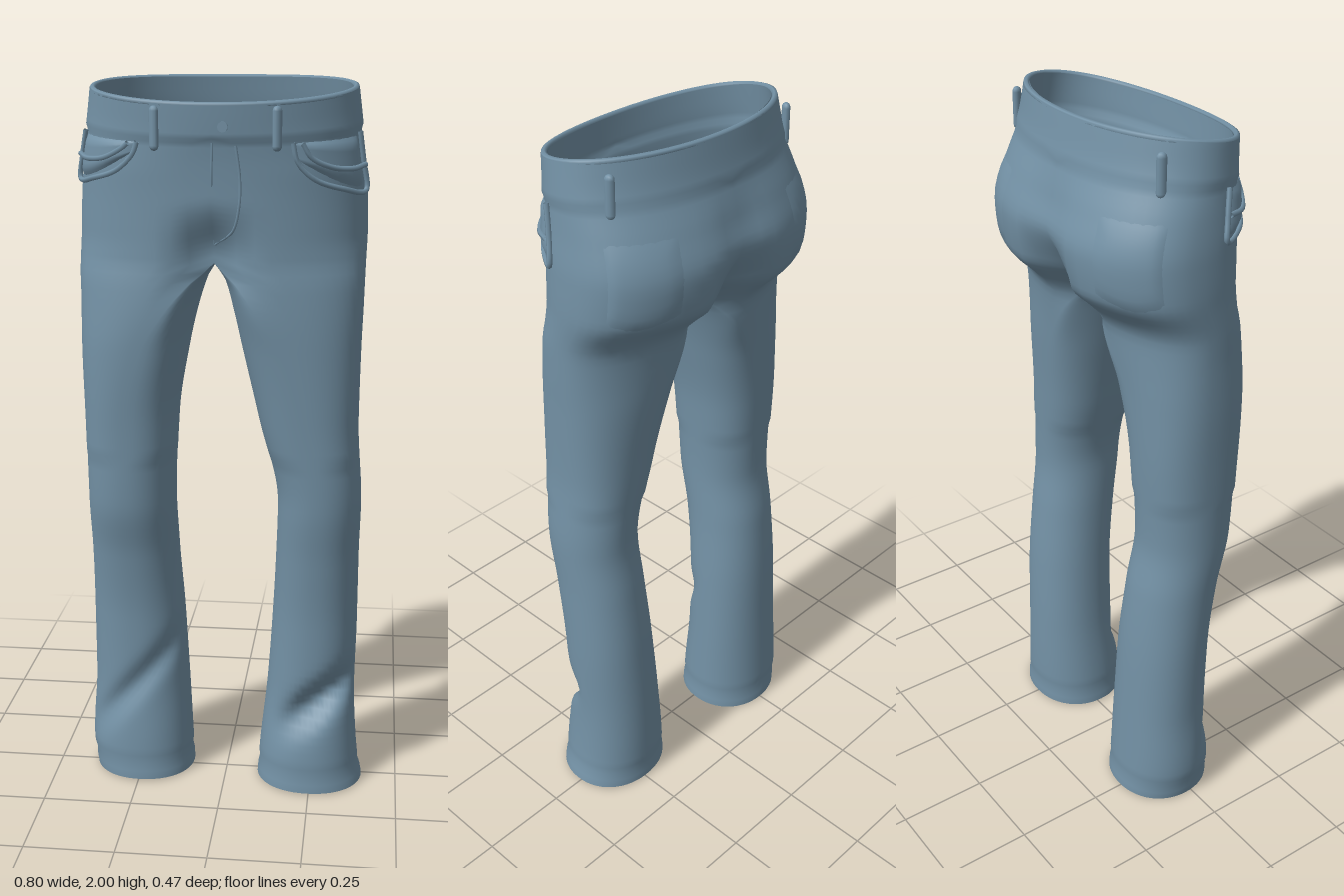
import * as THREE from 'three';
import { mergeVertices } from 'three/addons/utils/BufferGeometryUtils.js';

const CROTCH = 1.53, M = 28, THICK = 0.016;

// Cross-sections: y, outer x, centre x, inner x, front z, back z
const PELVIS = [
  [1.6, 0, -0.02, -0.02, 0.205, -0.232], [1.7, 0, -0.02, -0.02, 0.208, -0.244],
  [1.8, 0, -0.02, -0.02, 0.213, -0.215], [1.9, 0, -0.015, -0.015, 0.221, -0.178],
  [2.0, 0, -0.01, -0.01, 0.228, -0.158],
];
const pelvis = (xs) => PELVIS.map((r, i) => [r[0], xs[i], ...r.slice(2)]);
const SIDES = {
  right: [
    [0, -0.39, -0.245, -0.10, 0.12, -0.16], [0.1, -0.402, -0.25, -0.105, 0.115, -0.155],
    [0.3, -0.39, -0.25, -0.115, 0.10, -0.145], [0.5, -0.388, -0.25, -0.125, 0.105, -0.135],
    [0.7, -0.385, -0.255, -0.137, 0.13, -0.115], [0.86, -0.385, -0.26, -0.14, 0.165, -0.09],
    [1.1, -0.387, -0.255, -0.13, 0.18, -0.10], [1.3, -0.39, -0.21, -0.098, 0.195, -0.11],
    [1.4, -0.39, -0.15, -0.075, 0.20, -0.12], [1.49, -0.392, -0.07, -0.045, 0.202, -0.135],
    [CROTCH, -0.393, -0.02, -0.02, 0.203, -0.17], ...pelvis([-0.394, -0.39, -0.378, -0.362, -0.348]),
  ],
  left: [
    [0, 0.40, 0.247, 0.093, 0.15, -0.13], [0.1, 0.383, 0.245, 0.10, 0.145, -0.13],
    [0.3, 0.372, 0.245, 0.12, 0.125, -0.125], [0.5, 0.375, 0.255, 0.133, 0.13, -0.115],
    [0.7, 0.375, 0.26, 0.143, 0.15, -0.095], [0.86, 0.378, 0.262, 0.148, 0.172, -0.077],
    [1.1, 0.365, 0.22, 0.095, 0.185, -0.088], [1.3, 0.367, 0.16, 0.048, 0.195, -0.106],
    [1.4, 0.37, 0.10, 0.025, 0.20, -0.117], [1.49, 0.372, 0.03, 0, 0.202, -0.135],
    [CROTCH, 0.373, -0.02, -0.02, 0.203, -0.17], ...pelvis([0.375, 0.372, 0.36, 0.35, 0.338]),
  ],
};

// Smooth interpolation of one column, without overshoot
function column(rows, c, y) {
  let i = 0;
  while (i < rows.length - 2 && y > rows[i + 1][0]) i++;
  const slope = (k) => (rows[k + 1][c] - rows[k][c]) / (rows[k + 1][0] - rows[k][0]);
  const tangent = (k) => {
    if (k === 0) return slope(0);
    if (k === rows.length - 1) return slope(k - 1);
    const a = slope(k - 1), b = slope(k);
    return a * b <= 0 ? 0 : (2 * a * b) / (a + b);
  };
  const h = rows[i + 1][0] - rows[i][0], u = (y - rows[i][0]) / h, v = 1 - u;
  return rows[i][c] * (1 + 2 * u) * v * v + tangent(i) * h * u * v * v
    + rows[i + 1][c] * u * u * (3 - 2 * u) - tangent(i + 1) * h * u * u * v;
}

const step = THREE.MathUtils.smoothstep;

// Point on the cloth: t runs 0 front, 0.5 hip, 1 back, 1.5 inseam
function cloth(side, y, t, off = 0) {
  const [xo, xc, xi, zf, zb] = [1, 2, 3, 4, 5].map((c) => column(SIDES[side], c, y));
  const a = Math.PI * (0.5 - t), c = Math.cos(a), s = Math.sin(a);
  const waist = step(y, 1.75, 1.95);
  const e = y > 1 ? 0.84 + 0.12 * waist : 0.94;
  let x = xc + ((c >= 0 ? xo : xi) - xc) * Math.abs(c) ** e;
  const zm = (zf + zb) / 2, half = (zf - zb) / 2;
  let dz = half * Math.sign(s) * Math.abs(s) ** e;
  // Hollow along the centre seam, deepest at the crotch
  const near = Math.exp(-(((x + 0.02) / 0.065) ** 2)) * step(y, 1.25, 1.5);
  dz *= 1 - near * (s > 0 ? 0.36 * (1 - step(y, 1.53, 1.7)) : 0.08 * (1 - step(y, 1.75, 1.9)) + 0.42 * (1 - step(y, 1.53, 1.74)));
  // Diagonal folds above the hems
  const front = Math.max(0, dz / half);
  if (side === 'left') {
    dz -= 0.065 * front * step(x, 0.1, 0.3) * Math.exp(-(((y - 0.17 - 0.68 * (x - 0.12)) / 0.05) ** 2));
  } else {
    dz -= 0.022 * front * Math.exp(-(((y - 0.18 - 1.1 * (x + 0.36)) / 0.05) ** 2));
  }
  // Waistband step, hem groove and any extra offset go outwards
  const out = off + (y > 1.885 ? 0.006 : 0) - 0.004 * Math.exp(-(((y - 0.05) / 0.012) ** 2));
  const nx = x - xc, len = Math.hypot(nx, dz) || 1;
  if (t !== 0 && t !== 1) x += (out * nx) / len;
  const z = zm + dz + (out * dz) / len;
  const drop = 0.06 * Math.max(0, (z + 0.15) / 0.38) ** 1.6 * step(y, 1.7, 2);
  return new THREE.Vector3(x, y - drop, z);
}

// Both legs and the seat as one welded skin
function trouserGeometry() {
  const levels = [], pos = [], index = [];
  for (let k = 0; k <= 64; k++) levels.push(0.004 + (CROTCH - 0.004) * k / 64);
  for (let k = 1; k <= 28; k++) levels.push(CROTCH + (1.994 - CROTCH) * k / 28);
  for (const side of ['left', 'right']) {
    const base = pos.length / 3;
    levels.forEach((y, k) => {
      for (let j = 0; j < 2 * M; j++) pos.push(...cloth(side, y, j / M).toArray());
      if (k === 0) return;
      const count = y > CROTCH + 1e-6 ? M : 2 * M;
      for (let j = 0; j < count; j++) {
        const a = base + (k - 1) * 2 * M + j, b = base + (k - 1) * 2 * M + (j + 1) % (2 * M);
        const c = a + 2 * M, d = b + 2 * M;
        if (side === 'left') index.push(a, b, c, b, d, c);
        else index.push(a, c, b, b, c, d);
      }
    });
  }
  let geo = new THREE.BufferGeometry();
  geo.setAttribute('position', new THREE.Float32BufferAttribute(pos, 3));
  geo.setIndex(index);
  geo = mergeVertices(geo, 1e-4);
  geo.computeVertexNormals();
  return geo;
}

// Inner face: the skin moved inwards and turned over
function liningGeometry(skin) {
  const geo = skin.clone(), p = geo.attributes.position, n = skin.attributes.normal;
  for (let i = 0; i < p.count; i++) {
    p.setXYZ(i, p.getX(i) - THICK * n.getX(i), p.getY(i), p.getZ(i) - THICK * n.getZ(i));
  }
  geo.index.array.reverse();
  geo.computeVertexNormals();
  return geo;
}

// Padded patch lying on the cloth between two t values
function patchGeometry(side, t0, t1, bottom, top, height) {
  const geo = new THREE.PlaneGeometry(1, 1, 14, 10), p = geo.attributes.position;
  for (let i = 0; i < p.count; i++) {
    const u = p.getX(i) + 0.5, v = p.getY(i) + 0.5, low = bottom(u);
    const edge = Math.min(1, 6 * Math.min(u, 1 - u, v, 1 - v));
    const q = cloth(side, low + (top - low) * v, t0 + (t1 - t0) * u, -0.003 + height * edge);
    p.setXYZ(i, q.x, q.y, q.z);
  }
  geo.computeVertexNormals();
  return geo;
}

export function createModel() {
  const group = new THREE.Group();
  const denim = new THREE.MeshStandardMaterial({ color: 0x7391a5, side: THREE.DoubleSide });
  denim.name = 'blue denim';
  const add = (name, geo) => {
    const mesh = new THREE.Mesh(geo, denim);
    mesh.name = name;
    group.add(mesh);
    return mesh;
  };
  const tube = (name, pts, r, closed = false) =>
    add(name, new THREE.TubeGeometry(new THREE.CatmullRomCurve3(pts, closed), closed ? 90 : 36, r, 6, closed));
  const seam = (name, side, pts, r, off = 0.002) =>
    tube(name, pts.map(([t, y]) => cloth(side, y, t, off)), r);

  const skin = trouserGeometry();
  add('trousers', skin);
  add('lining', liningGeometry(skin));

  // Rolled edges at hems and waist
  const arc = (side, y, n, end) => Array.from({ length: n }, (_, i) => cloth(side, y, (end * i) / n, -0.008));
  for (const side of ['left', 'right']) tube(side + 'Hem', arc(side, 0.008, 40, 2), 0.008, true);
  const backToFront = Array.from({ length: 24 }, (_, i) => cloth('right', 1.992, 1 - i / 24, -0.008));
  tube('waistEdge', [...arc('left', 1.992, 24, 1), ...backToFront], 0.008, true);

  for (const side of ['left', 'right']) {
    const lift = side === 'left' ? 0 : 0.025;
    // Front pocket: padded pouch, rim and curved opening
    const low = (u) => 1.72 + lift + 0.1 * (1 - u) ** 2.5;
    add(side + 'FrontPocket', patchGeometry(side, 0.17, 0.43, low, 1.875, 0.013));
    seam(side + 'PocketRim', side, [[0.17, 1.875], [0.172, 1.81 + lift], [0.21, 1.755 + lift], [0.3, 1.725 + lift], [0.43, 1.715 + lift], [0.435, 1.8], [0.43, 1.88]], 0.007, 0.006);
    seam(side + 'PocketOpening', side, [[0.19, 1.87], [0.205, 1.825 + lift], [0.26, 1.79 + lift], [0.34, 1.78 + lift], [0.43, 1.785 + lift]], 0.007, 0.012);
    // Back pocket
    add(side + 'BackPocket', patchGeometry(side, 0.62, 0.86, (u) => 1.6 - 0.03 * Math.sin(Math.PI * u), 1.82, 0.007));
    // Belt loops
    for (const [place, t, y] of [['Front', side === 'left' ? 0.134 : 0.127, 1.925], ['Back', 0.69, 1.915]]) {
      const p = cloth(side, y, t, 0.006), q = cloth(side, y, t, 0.1);
      const loop = add(side + place + 'BeltLoop', new THREE.CapsuleGeometry(0.013, 0.085, 4, 10));
      loop.scale.z = 0.8;
      loop.position.copy(p);
      loop.rotation.y = Math.atan2(q.x - p.x, q.z - p.z);
    }
  }

  // Fly stitching and button
  seam('flySeam', 'left', [[0.045, 1.87], [0.045, 1.76], [0.042, 1.68], [0.03, 1.62], [0.002, 1.58]], 0.004, 0);
  seam('centreSeam', 'left', [[0.001, 1.88], [0.001, 1.75], [0.001, 1.58]], 0.003, 0);
  const button = add('button', new THREE.CylinderGeometry(0.013, 0.013, 0.008, 16));
  button.rotation.x = Math.PI / 2;
  button.position.copy(cloth('left', 1.935, 0.02, 0.003));
  return group;
}
